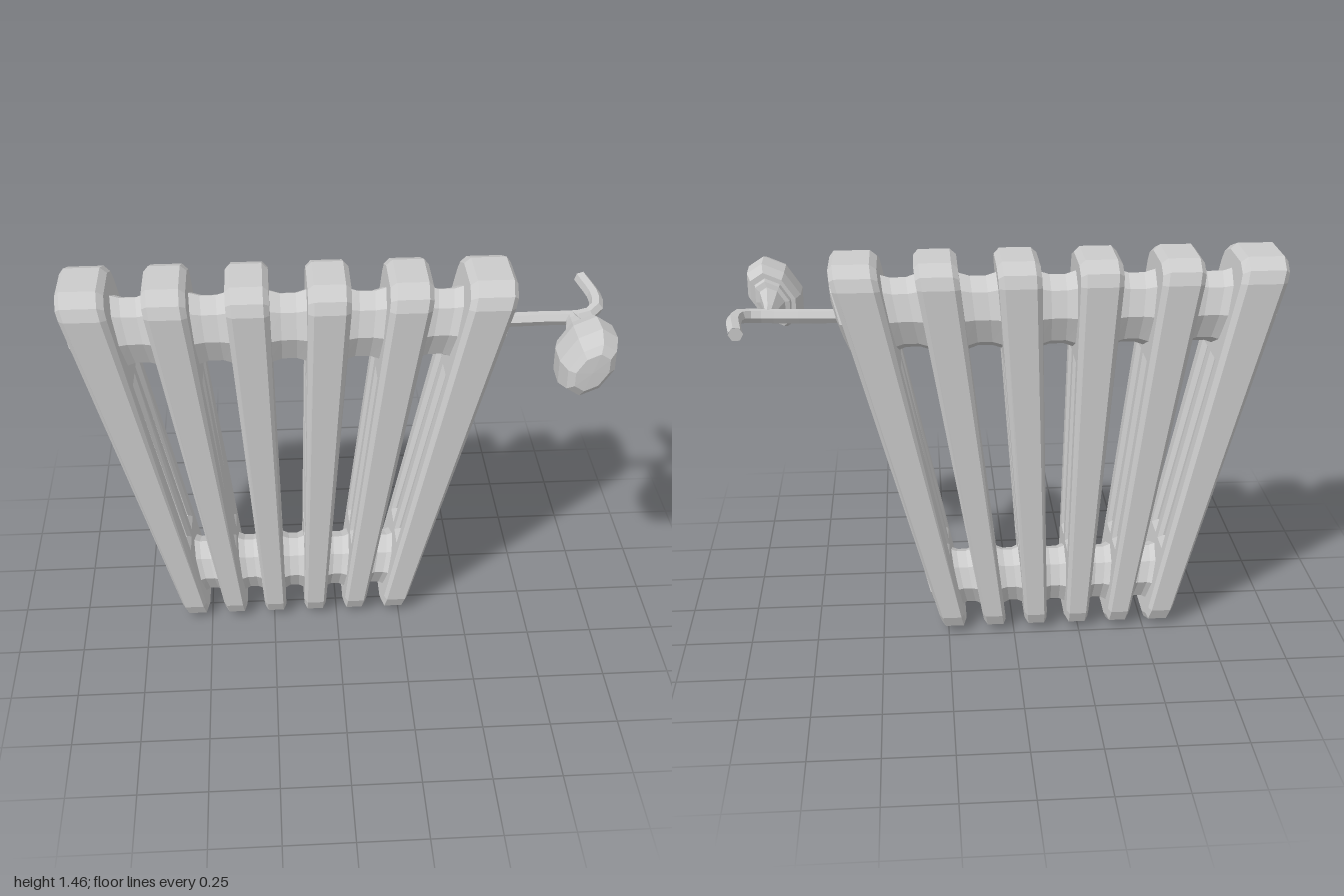
import * as THREE from 'three';

const material = new THREE.MeshStandardMaterial({ color: 0xcccccc, flatShading: true });
const FINS = 6, SPACING = 0.154, HALF = 0.041, HEIGHT = 1.455;

// Widen the radiator towards the top, so the fins fan out
function fan(geometry) {
  const p = geometry.attributes.position;
  for (let i = 0; i < p.count; i++) {
    p.setX(i, p.getX(i) * (1 + 0.9 * p.getY(i) / HEIGHT));
  }
  geometry.computeVertexNormals();
  return geometry;
}

function addMesh(parent, name, geometry) {
  const mesh = new THREE.Mesh(geometry, material);
  mesh.name = name;
  parent.add(mesh);
  return mesh;
}

const toPoints = (list) => list.map(([a, b]) => new THREE.Vector2(a, b));

// Chamfered slab with two bevelled slots
function finGeometry(u, half) {
  const corner = [[0.158, 0.078], [0.146, 0.045], [0.085, 0.02]];
  const flipX = ([a, b]) => [-a, b];
  const flipY = ([a, b]) => [a, HEIGHT - b];
  const lower = [...corner.map(flipX), ...[...corner].reverse()];
  const upper = [...lower].reverse().map(flipY);
  const shape = new THREE.Shape(toPoints([...lower, ...upper]));
  for (const c of [-0.067, 0.067]) {
    const w = 0.045;
    shape.holes.push(new THREE.Path(toPoints([
      [c - w, 0.31], [c - w, 1.08], [c + w, 1.08], [c + w, 0.31],
    ])));
  }
  const bevel = 0.011;
  const g = new THREE.ExtrudeGeometry(shape, {
    depth: 2 * (half - bevel), bevelEnabled: true,
    bevelThickness: bevel, bevelSize: 0.02, bevelSegments: 1,
  });
  g.translate(0, 0, bevel - half);
  g.rotateY(Math.PI / 2);
  g.translate(u, 0, 0);
  return fan(g);
}

// Eight-sided turned form lying along x; profile is [radius factor, u]
function turned(profile, y, ry, rz) {
  const g = new THREE.LatheGeometry(toPoints(profile), 8);
  g.rotateZ(-Math.PI / 2);
  g.scale(1, ry, rz);
  g.translate(0, y, 0);
  return fan(g);
}

export function createModel() {
  const model = new THREE.Group();
  model.name = 'radiator';

  const body = new THREE.Group();
  body.name = 'radiatorBody';
  body.position.set(-0.165, 0, -0.07);
  model.add(body);

  // Fins, the two outer ones slightly thicker
  const end = (FINS - 1) / 2 * SPACING;
  for (let i = 0; i < FINS; i++) {
    const outer = i === 0 || i === FINS - 1;
    addMesh(body, 'fin' + (i + 1), finGeometry(i * SPACING - end, outer ? 0.045 : HALF));
  }

  // Upper and lower connecting tubes, waisted in every gap, with end caps
  for (const [name, y, ry, rz, inner] of [
    ['upper', 1.247, 0.155, 0.125, 0.6],
    ['lower', 0.16, 0.125, 0.125, 0.58],
  ]) {
    const profile = [];
    for (let i = 0; i < FINS - 1; i++) {
      const a = i * SPACING - end;
      profile.push([0.97, a + HALF - 0.01], [0.85, a + SPACING * 0.4],
        [0.85, a + SPACING * 0.6], [0.97, a + SPACING - HALF + 0.01]);
    }
    addMesh(body, name + 'Tube', turned(profile, y, ry, rz));

    const cap = [[1, 0.42], [0.98, 0.438], [inner, 0.445], [0, 0.445]];
    addMesh(body, name + 'LeftCap', turned(cap, y, ry, rz));
    const mirrored = cap.map(([r, u]) => [r, -u]).reverse();
    addMesh(body, name + 'RightCap', turned(mirrored, y, ry, rz));
  }

  // Supply pipe bending towards the back
  const path = new THREE.CatmullRomCurve3([
    [0.58, 1.24, -0.075], [0.75, 1.243, -0.075], [0.92, 1.248, -0.075],
    [0.962, 1.258, -0.1], [0.978, 1.265, -0.165], [0.955, 1.27, -0.33],
  ].map((p) => new THREE.Vector3(...p)));
  addMesh(model, 'pipe', new THREE.TubeGeometry(path, 14, 0.026, 6));
  const cut = new THREE.CircleGeometry(0.026, 6);
  const pipeEnd = addMesh(model, 'pipeEnd', cut);
  pipeEnd.position.copy(path.getPoint(1));
  pipeEnd.lookAt(path.getPoint(1).add(path.getTangent(1)));

  // Valve: flaring stem and flattened knob facing forward
  const valve = new THREE.Group();
  valve.name = 'valve';
  valve.position.set(0.865, 1.25, 0);
  valve.rotation.z = THREE.MathUtils.degToRad(57);
  model.add(valve);
  const valvePart = (name, profile) => {
    const g = new THREE.LatheGeometry(toPoints(profile), 8, Math.PI / 8);
    g.rotateX(Math.PI / 2);
    g.scale(1, 0.66, 1);
    addMesh(valve, name, g);
  };
  valvePart('valveStem', [[0, -0.075], [0.022, -0.07], [0.03, -0.03], [0.062, 0.07], [0.085, 0.075],
    [0.09, 0.1], [0, 0.1]]);
  valvePart('valveKnob', [[0, 0.095], [0.112, 0.1], [0.134, 0.15], [0.136, 0.24],
    [0.112, 0.305], [0.08, 0.325], [0, 0.327]]);

  return model;
}
